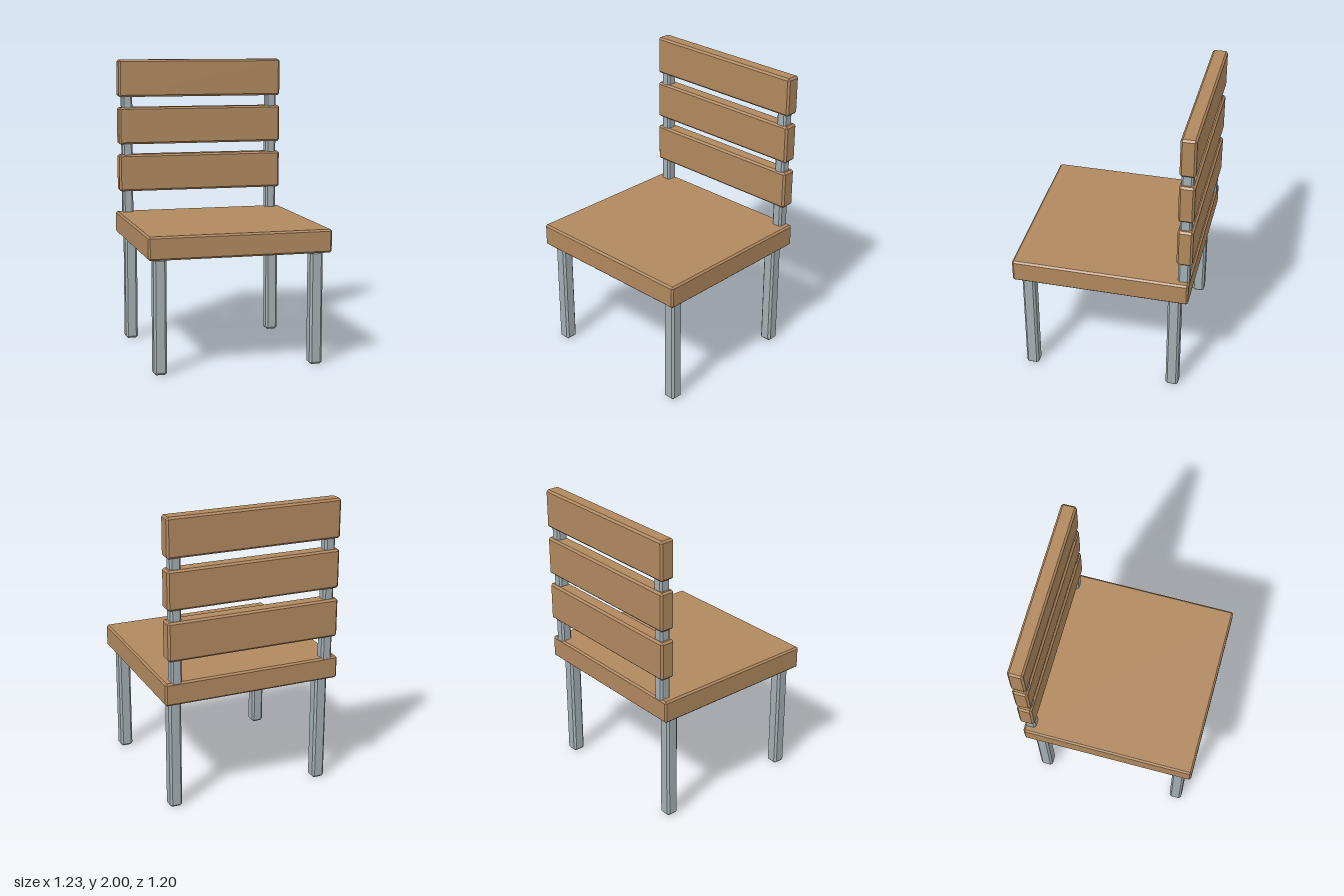
import * as THREE from 'three';
import { ConvexGeometry } from 'three/addons/geometries/ConvexGeometry.js';

// Box between two corners, with every edge cut by a flat chamfer c
function chamferBox(min, max, c) {
  const half = max.map((v, i) => (v - min[i]) / 2);
  const points = [];
  for (const sx of [-1, 1]) for (const sy of [-1, 1]) for (const sz of [-1, 1]) {
    for (let axis = 0; axis < 3; axis++) {
      const p = half.map((h, i) => (i === axis ? h : h - c));
      points.push(new THREE.Vector3(sx * p[0], sy * p[1], sz * p[2]));
    }
  }
  const geometry = new ConvexGeometry(points);
  geometry.translate(...max.map((v, i) => (v + min[i]) / 2));
  return geometry;
}

export function createModel() {
  const model = new THREE.Group();
  model.name = 'chair';
  const wood = new THREE.MeshStandardMaterial({ color: 0xb0885e, flatShading: true });
  const metal = new THREE.MeshStandardMaterial({ color: 0xa3aeb2, flatShading: true });

  function addBox(name, material, min, max, chamfer) {
    const mesh = new THREE.Mesh(chamferBox(min, max, chamfer), material);
    mesh.name = name;
    model.add(mesh);
  }

  // Seat slab
  addBox('seat', wood, [-0.613, 0.76, -0.585], [0.613, 0.915, 0.6], 0.012);

  // Three back slats, evenly spaced
  for (let i = 0; i < 3; i++) {
    const y = 1.064 + i * 0.3365;
    addBox('backSlat', wood, [-0.595, y, -0.6], [0.595, y + 0.263, -0.498], 0.013);
  }

  for (const side of [-1, 1]) {
    const sideName = side > 0 ? 'Left' : 'Right';

    // Legs under the seat
    for (const [name, z] of [['front', 0.506], ['back', -0.488]]) {
      const x = side * 0.527;
      addBox(`${name}${sideName}Leg`, metal, [x - 0.043, 0, z - 0.043], [x + 0.043, 0.762, z + 0.043], 0.014);
    }

    // Posts carrying the slats
    const x = side * 0.533;
    addBox(`back${sideName}Post`, metal, [x - 0.037, 0.8, -0.583], [x + 0.037, 1.9, -0.507], 0.013);
  }

  return model;
}
